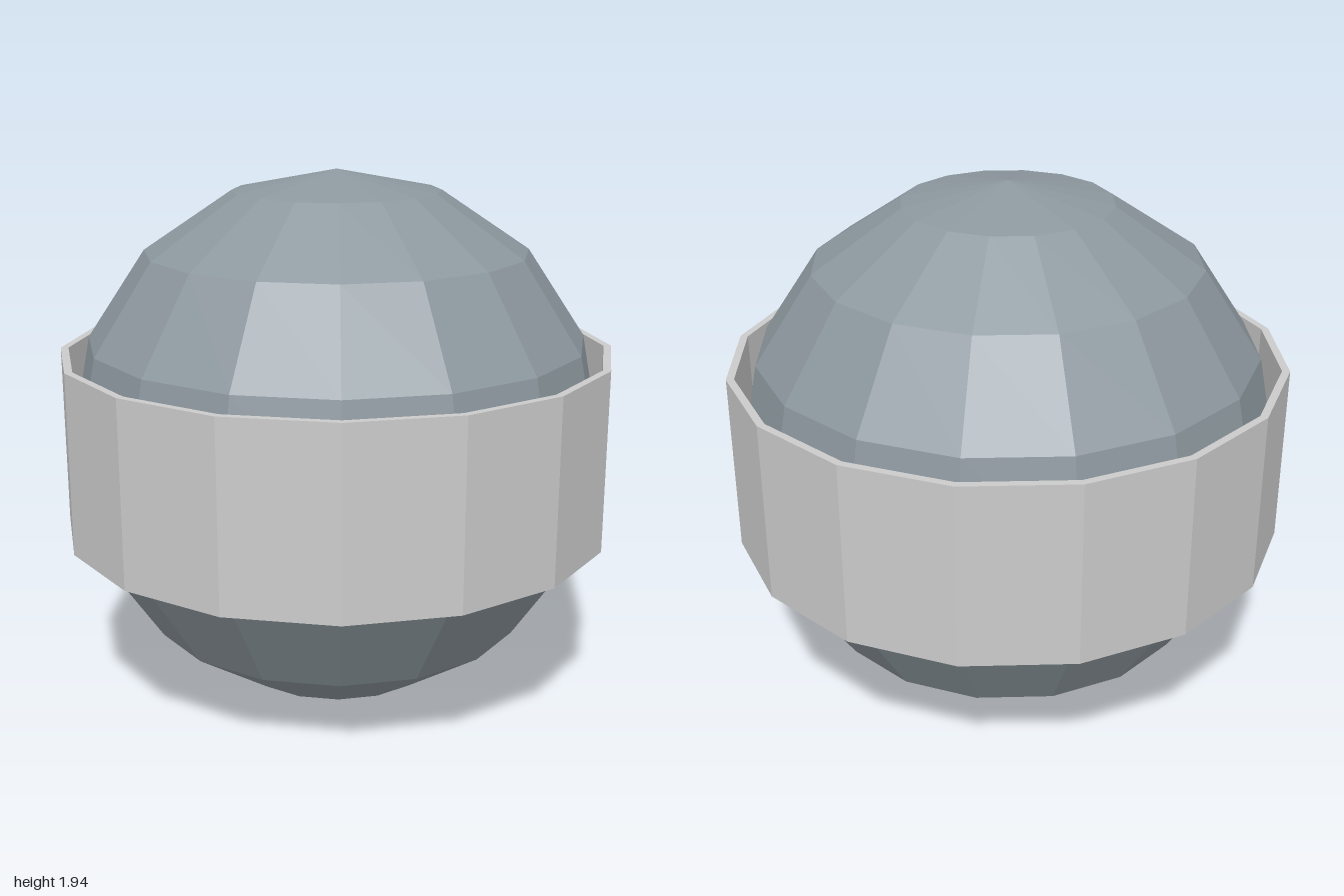
import * as THREE from 'three';

const SIDES = 16;
const RADIUS = 0.97;
const BAND_INNER = 0.972;
const BAND_OUTER = 1;
const BAND_LOW = 0.645;
const BAND_HIGH = 1.3;

function part(name, geometry, color) {
  const material = new THREE.MeshStandardMaterial({ color, flatShading: true });
  const mesh = new THREE.Mesh(geometry, material);
  mesh.name = name;
  return mesh;
}

export function createModel() {
  const group = new THREE.Group();
  group.name = 'bandedBall';

  // Faceted ball resting on the ground
  const ball = part('ball', new THREE.SphereGeometry(RADIUS, SIDES, 8), 0x8d989f);
  ball.position.y = RADIUS;
  group.add(ball);

  // Thin-walled band around the middle: closed profile, outside up and inside down
  const profile = [
    [BAND_OUTER, BAND_LOW],
    [BAND_OUTER, BAND_HIGH],
    [BAND_INNER, BAND_HIGH],
    [BAND_INNER, BAND_LOW],
    [BAND_OUTER, BAND_LOW],
  ].map(([r, y]) => new THREE.Vector2(r, y));
  group.add(part('band', new THREE.LatheGeometry(profile, SIDES), 0xcccccc));

  return group;
}
